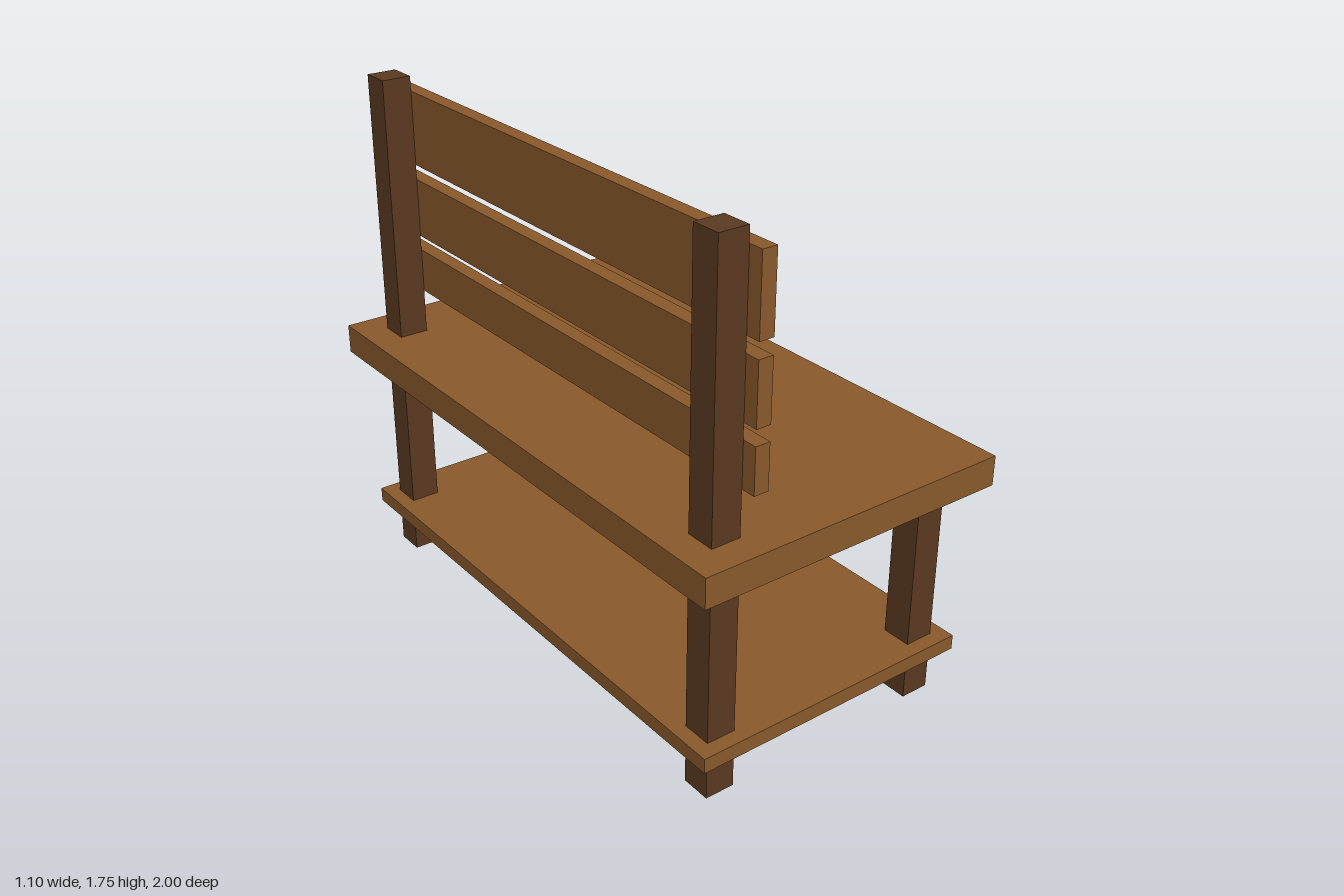
import * as THREE from 'three';

export function createModel() {
  const model = new THREE.Group();
  model.name = 'bench';
  const wood = new THREE.MeshStandardMaterial({ color: 0x8b5a2b });
  wood.name = 'wood';
  const darkWood = new THREE.MeshStandardMaterial({ color: 0x5c3a21 });
  darkWood.name = 'dark wood';

  const add = (name, geometry, material, x, y, z) => {
    const mesh = new THREE.Mesh(geometry, material);
    mesh.name = name;
    mesh.position.set(x, y, z);
    model.add(mesh);
    return mesh;
  };
  const box = (name, w, h, d, material, x, y, z) =>
    add(name, new THREE.BoxGeometry(w, h, d), material, x, y, z);

  // Thin rounded-rectangle peg, centred, extruded along its own z
  const pegGeometry = (w, h, r) => {
    const a = w / 2 - r, b = h / 2 - r;
    const shape = new THREE.Shape();
    shape.absarc(a, b, r, 0, Math.PI / 2);
    shape.absarc(-a, b, r, Math.PI / 2, Math.PI);
    shape.absarc(-a, -b, r, Math.PI, Math.PI * 1.5);
    shape.absarc(a, -b, r, Math.PI * 1.5, Math.PI * 2);
    return new THREE.ExtrudeGeometry(shape, { depth: 0.003, bevelEnabled: false, curveSegments: 6 });
  };

  // Seat and lower shelf
  box('seat', 1.1, 0.1, 2, wood, 0, 0.8, 0);
  box('lowerShelf', 1, 0.05, 1.9, wood, 0, 0.175, 0);

  // Short legs, and tall posts that carry the backrest
  for (const z of [-0.85, 0.85]) {
    box('shortLeg', 0.1, 0.75, 0.1, darkWood, 0.4, 0.375, z);
    box('backPost', 0.1, 1.75, 0.1, darkWood, -0.4, 0.875, z);
  }

  // Backrest slats with pegs: [bottom, top, peg height, peg corner radius]
  const slats = [
    [1.0, 1.15, 0.05, 0.024],
    [1.2, 1.4, 0.1, 0.032],
    [1.45, 1.7, 0.1, 0.032],
  ];
  for (const [bottom, top, pegHeight, radius] of slats) {
    const y = (bottom + top) / 2 + (top > 1.5 ? 0.025 : 0);
    box('backSlat', 0.05, top - bottom, 1.9, wood, -0.325, (bottom + top) / 2, 0);
    for (const z of [-0.85, 0.85]) {
      add('slatPeg', pegGeometry(0.1, pegHeight, radius), darkWood, -0.3, y, z).rotation.y = Math.PI / 2;
    }
  }
  return model;
}
